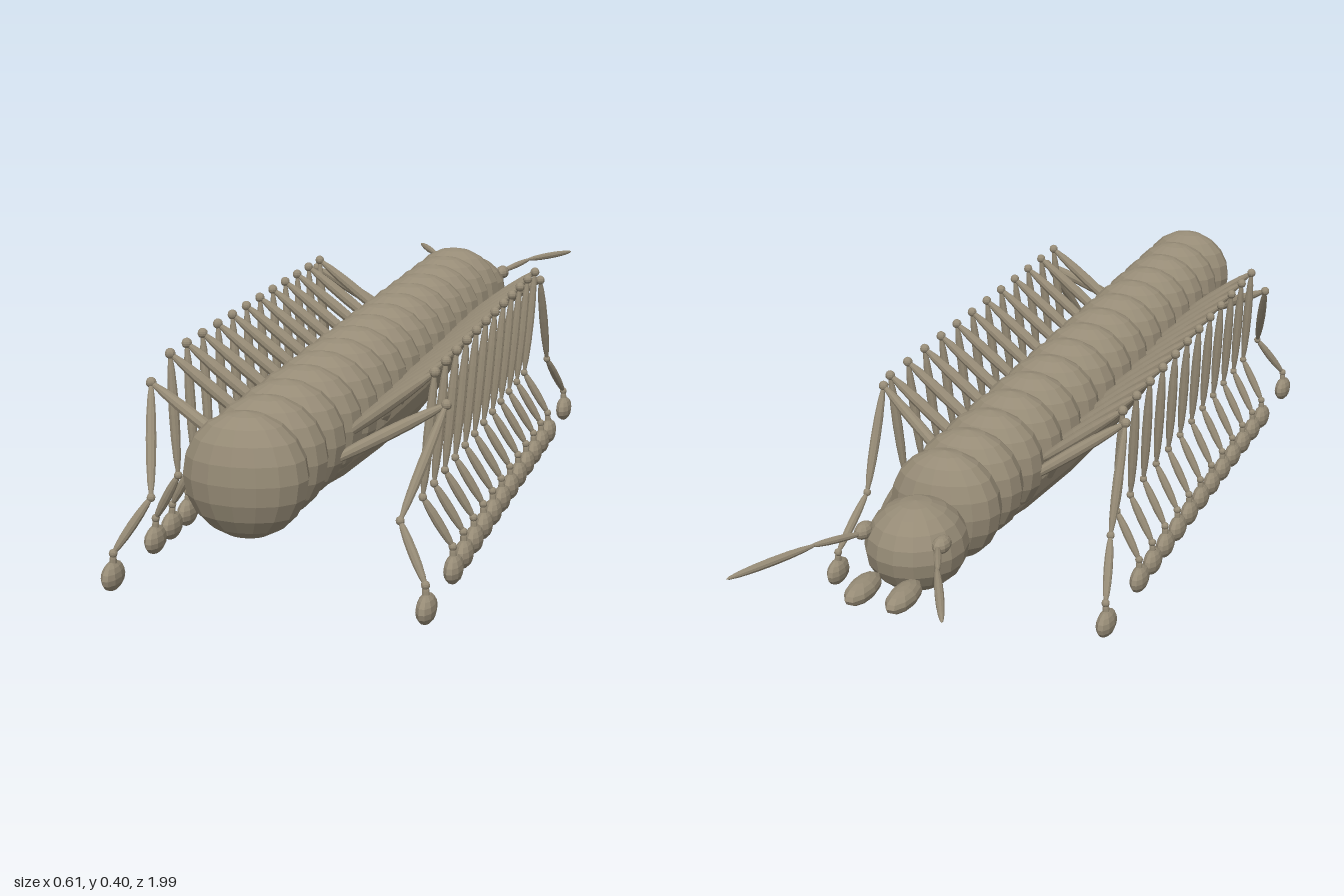
import * as THREE from 'three';

const shell = new THREE.MeshStandardMaterial({ color: 0x968b76, flatShading: true });
shell.name = 'taupe shell';

const bigBall = new THREE.SphereGeometry(1, 16, 10);
const smallBall = new THREE.SphereGeometry(1, 10, 8);
const UP = new THREE.Vector3(0, 1, 0);

export function createModel() {
  const model = new THREE.Group();
  model.name = 'centipede';

  // Ellipsoid from centre and radii
  function blob(parent, name, geo, p, r) {
    const m = new THREE.Mesh(geo, shell);
    m.name = name;
    m.position.set(...p);
    m.scale.set(...r);
    parent.add(m);
    return m;
  }

  // Spindle-shaped limb stretched between two points
  function limb(parent, name, a, b, r) {
    const A = new THREE.Vector3(...a), B = new THREE.Vector3(...b);
    const d = B.clone().sub(A);
    const mid = A.clone().add(B).multiplyScalar(0.5);
    const m = blob(parent, name, smallBall, mid.toArray(), [r, d.length() / 2 + 0.004, r]);
    m.quaternion.setFromUnitVectors(UP, d.normalize());
  }

  // Body segments, belly and head
  for (let i = 0; i < 15; i++) {
    blob(model, 'bodySegment', bigBall, [0, 0.27, 0.917 - i * 0.1045], [0.11, 0.11, 0.075]);
  }
  blob(model, 'belly', bigBall, [0, 0.22, 0.13], [0.105, 0.1, 0.75]);
  blob(model, 'head', bigBall, [0, 0.25, -0.675], [0.095, 0.085, 0.1]);

  // One leg: hip, knee, ankle, foot joint and foot
  function leg(s, hip, knee, ankle, footZ) {
    const g = new THREE.Group();
    g.name = s > 0 ? 'leftLeg' : 'rightLeg';
    const [h, k, a] = [hip, knee, ankle].map(([x, y, z]) => [s * x, y, z]);
    const toe = [s * 0.287, 0.07, footZ];
    limb(g, 'thigh', h, k, 0.0125);
    limb(g, 'shin', k, a, 0.010);
    limb(g, 'lowerShin', a, toe, 0.009);
    limb(g, 'footStem', toe, [s * 0.289, 0.035, footZ], 0.007);
    blob(g, 'knee', smallBall, k, [0.01, 0.01, 0.01]);
    blob(g, 'ankle', smallBall, a, [0.008, 0.008, 0.008]);
    blob(g, 'footJoint', smallBall, toe, [0.008, 0.008, 0.008]);
    blob(g, 'foot', smallBall, [s * 0.289, 0.028, footZ], [0.0175, 0.027, 0.037]);
    model.add(g);
  }

  for (const s of [1, -1]) {
    // Evenly spaced middle legs
    for (let i = 0; i < 12; i++) {
      const z = 0.635 - i * 0.0815;
      leg(s, [0.07, 0.25, z - 0.01], [0.25, 0.39, z - 0.007], [0.234, 0.163, z + 0.012], z);
    }
    // Splayed rear and front legs
    leg(s, [0.07, 0.23, 0.72], [0.278, 0.34, 0.655], [0.23, 0.165, 0.785], 0.83);
    leg(s, [0.07, 0.24, -0.345], [0.26, 0.37, -0.28], [0.263, 0.168, -0.365], -0.455);

    // Antenna with its socket
    blob(model, 'antennaSocket', smallBall, [s * 0.077, 0.287, -0.732], [0.016, 0.016, 0.025]);
    limb(model, 'antennaBase', [s * 0.075, 0.287, -0.745], [s * 0.122, 0.3, -0.845], 0.007);
    limb(model, 'antennaTip', [s * 0.118, 0.3, -0.84], [s * 0.2, 0.295, -0.997], 0.008);

    // Mouthparts
    blob(model, 'mandible', smallBall, [s * 0.04, 0.217, -0.815], [0.025, 0.021, 0.057]);
  }
  return model;
}
